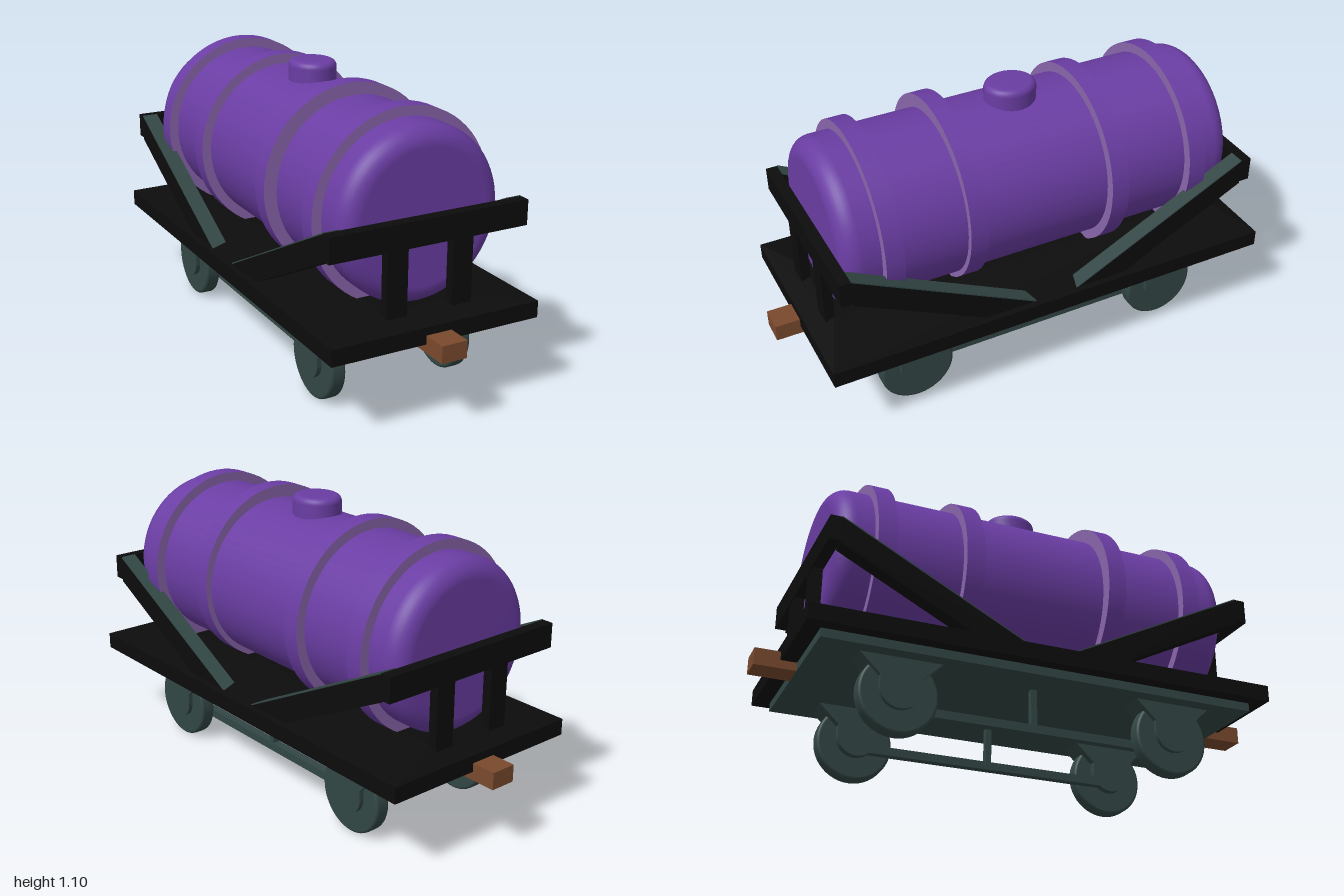
import * as THREE from 'three';

const material = (name, color) => {
  const m = new THREE.MeshStandardMaterial({ color });
  m.name = name;
  return m;
};

export function createModel() {
  const purple = material('tank purple', 0x6a3da3);
  const lilac = material('band lilac', 0x8a66ad);
  const black = material('frame black', 0x0c0c0c);
  const teal = material('chassis teal', 0x324745);
  const brown = material('coupler brown', 0x7a4a2e);

  const model = new THREE.Group();
  model.name = 'tankWagon';

  const add = (name, geometry, mat) => {
    const mesh = new THREE.Mesh(geometry, mat);
    mesh.name = name;
    model.add(mesh);
    return mesh;
  };
  // Box given by its limits on each axis
  const box = (name, mat, [x0, x1], [y0, y1], [z0, z1]) => {
    const g = new THREE.BoxGeometry(Math.abs(x1 - x0), y1 - y0, Math.abs(z1 - z0));
    g.translate((x0 + x1) / 2, (y0 + y1) / 2, (z0 + z1) / 2);
    return add(name, g, mat);
  };
  // Side outline in (z, y), extruded across x from x0 to x1
  const sidePlate = (name, mat, shape, x0, x1) => {
    const g = new THREE.ExtrudeGeometry(shape, { depth: x1 - x0, bevelEnabled: false, curveSegments: 20 });
    g.rotateY(-Math.PI / 2);
    g.translate(x1, 0, 0);
    return add(name, g, mat);
  };
  const outline = (points) => new THREE.Shape(points.map(([z, y]) => new THREE.Vector2(z, y)));
  // Quarter-round corner of a lathe profile
  const corner = (r, y, c, from, to) => Array.from({ length: 9 }, (_, i) => {
    const a = from + (to - from) * i / 8;
    return new THREE.Vector2(r + c * Math.cos(a), y + c * Math.sin(a));
  });

  // Tank with rounded ends
  const q = Math.PI / 2;
  const tank = new THREE.LatheGeometry([
    new THREE.Vector2(0, -0.8),
    ...corner(0.248, -0.728, 0.072, -q, 0),
    ...corner(0.248, 0.728, 0.072, 0, q),
    new THREE.Vector2(0, 0.8),
  ], 64);
  tank.rotateX(q);
  add('tank', tank, purple).position.y = 0.715;

  // Filler dome, slightly oval
  const dome = new THREE.LatheGeometry([
    new THREE.Vector2(0.1, 1),
    ...corner(0.075, 1.077, 0.025, 0, q),
    new THREE.Vector2(0, 1.102),
  ], 40);
  dome.scale(0.89, 1, 1);
  add('fillerDome', dome, purple);

  // Bands round the tank, with pale flanks
  for (const [z, x, y] of [[0.623, 0, 0.715], [0.292, -0.013, 0.725], [-0.283, 0, 0.715], [-0.623, 0, 0.715]]) {
    const g = new THREE.CylinderGeometry(0.357, 0.357, 0.072, 64);
    g.rotateX(q);
    add('tankBand', g, [purple, lilac, lilac]).position.set(x, y, z);
  }

  // Deck: slab with a shallow sloping top
  box('deck', black, [-0.415, 0.415], [0.307, 0.37], [-0.905, 0.905]);
  const crown = new THREE.BoxGeometry(0.83, 0.037, 1.81).toNonIndexed();
  const p = crown.attributes.position;
  for (let i = 0; i < p.count; i++) {
    if (p.getY(i) > 0) {
      p.setX(i, Math.sign(p.getX(i)) * 0.17);
      p.setZ(i, Math.sign(p.getZ(i)) * 0.81);
    }
  }
  crown.computeVertexNormals();
  crown.translate(0, 0.3885, 0);
  add('deckCrown', crown, black);

  // Chassis plate
  box('chassisPlate', teal, [-0.365, 0.365], [0.274, 0.309], [-0.845, 0.845]);

  for (const end of [1, -1]) {
    box('coupler', brown, [-0.05, 0.05], [0.275, 0.34], [end * 0.84, end]);
    box('endBeam', black, [-0.393, 0.393], [0.638, 0.732], [end * 0.802, end * 0.845]);

    for (const side of [1, -1]) {
      box('endPost', black, [side * 0.09, side * 0.17], [0.36, 0.65], [end * 0.805, end * 0.842]);

      // Sloping brace with a teal top face
      const [x0, x1] = side > 0 ? [0.33, 0.393] : [-0.393, -0.33];
      sidePlate('brace', black,
        outline([[end * 0.803, 0.731], [end * 0.08, 0.366], [end * 0.28, 0.366], [end * 0.803, 0.63]]), x0, x1);
      sidePlate('braceTop', teal,
        outline([[end * 0.801, 0.735], [end * 0.08, 0.371], [end * 0.08, 0.366], [end * 0.801, 0.73]]), x0, x1);

      // Wheel with softened rim
      const wheel = new THREE.LatheGeometry([
        new THREE.Vector2(0, -0.03),
        ...corner(0.135, -0.018, 0.012, -q, 0),
        ...corner(0.135, 0.018, 0.012, 0, q),
        new THREE.Vector2(0, 0.03),
      ], 48);
      wheel.rotateZ(q);
      add('wheel', wheel, teal).position.set(side * 0.262, 0.147, end * 0.538);

      // Axle guard: flared bracket ending in a round box
      const zc = end * 0.538;
      const guard = new THREE.Shape();
      guard.moveTo(zc + 0.155, 0.276);
      guard.lineTo(zc - 0.155, 0.276);
      guard.lineTo(zc - 0.075, 0.2);
      guard.absarc(zc, 0.16, 0.075, Math.PI, Math.PI * 2, false);
      guard.lineTo(zc + 0.075, 0.2);
      guard.closePath();
      const [g0, g1] = side > 0 ? [0.202, 0.31] : [-0.31, -0.202];
      sidePlate('axleGuard', teal, guard, g0, g1);
    }
  }

  // Tie rods between the wheels, each with a strut
  for (const side of [1, -1]) {
    box('tieRod', teal, [side * 0.202, side * 0.235], [0.103, 0.135], [-0.5, 0.5]);
    box('tieRodStrut', teal, [side * 0.206, side * 0.231], [0.13, 0.28], [-0.012, 0.012]);
  }

  return model;
}
